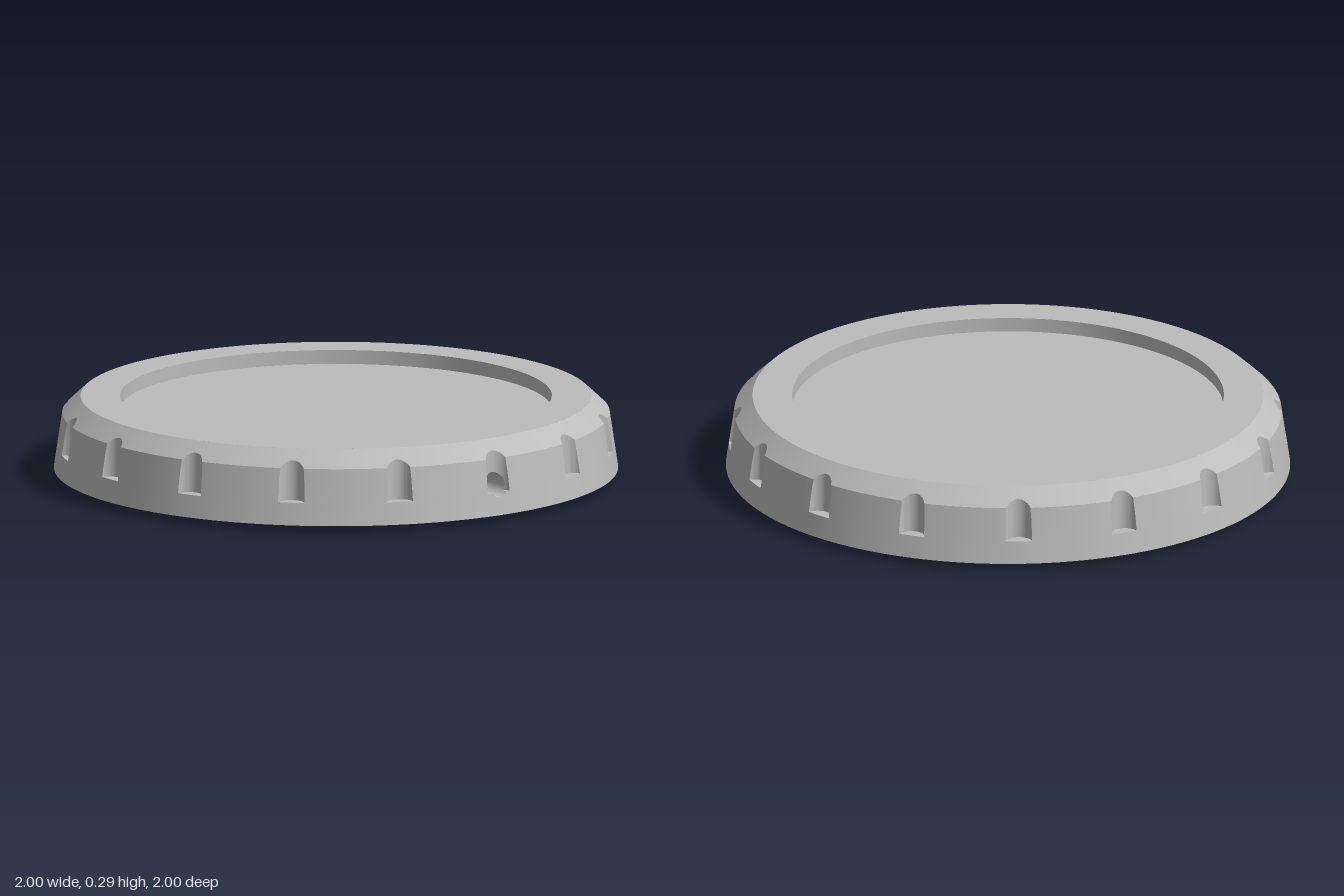
import * as THREE from 'three';
import { toCreasedNormals } from 'three/addons/utils/BufferGeometryUtils.js';

const BASE = 0.03, BREAK = 0.23, TOP = 0.29;       // heights of the outer wall
const R_BASE = 1, R_BREAK = 0.97, R_TOP = 0.905;   // matching radii
const FLOOR = 0.11, NOTCH_C = 0.992, NOTCH_R = 0.048, NOTCHES = 16;
const HOLE_Y = 0.135, HOLE_R = 0.041;              // set screw hole on +x
const POCKET = { x0: 0.182, x1: 0.232, w: 0.12, top: 0.19 };

// radius of the tapered and chamfered wall at a height
function wall(y) {
  return y < BREAK
    ? THREE.MathUtils.mapLinear(y, BASE, BREAK, R_BASE, R_BREAK)
    : THREE.MathUtils.mapLinear(y, BREAK, TOP, R_BREAK, R_TOP);
}

// height at which the wall reaches a radius
function wallHeight(r) {
  return r > R_BREAK
    ? THREE.MathUtils.mapLinear(r, R_BASE, R_BREAK, BASE, BREAK)
    : THREE.MathUtils.mapLinear(r, R_BREAK, R_TOP, BREAK, TOP);
}

// one vertical strip of points; local is the angle from the notch centre
function column(angle, local, hasHole) {
  const s = NOTCH_C * Math.sin(local);
  const d = NOTCH_R * NOTCH_R - s * s;
  let r = d > 0 ? NOTCH_C * Math.cos(local) - Math.sqrt(d) : 2;
  r = Math.min(r, wall(FLOOR));
  const yRim = Math.max(FLOOR, wallHeight(r));
  let low = Math.min(HOLE_Y, yRim), high = low;
  const z = r * Math.sin(local);
  if (hasHole && Math.abs(z) < HOLE_R) {
    const h = Math.sqrt(HOLE_R * HOLE_R - z * z);
    low = HOLE_Y - h;
    high = HOLE_Y + h;
  }
  const yStep = Math.min(low, FLOOR);
  const inner = low < FLOOR ? wall(low) : r;
  const yBreak = Math.max(yRim, BREAK);
  const rows = [
    [R_BASE, BASE], [wall(yStep), yStep], [inner, yStep], [inner, low],
    [r, high], [r, yRim], [wall(yBreak), yBreak], [R_TOP, TOP],
  ];
  return rows.map(([q, y]) => new THREE.Vector3(q * Math.cos(angle), y, -q * Math.sin(angle)));
}

// outer wall with scalloped notches and the screw opening
function gripGeometry() {
  const step = (Math.PI * 2) / NOTCHES;
  const edge = Math.asin(NOTCH_R / NOTCH_C);
  const locals = [];
  for (let i = 0; i <= 20; i++) locals.push(edge * Math.sin((i / 20 - 0.5) * Math.PI));
  for (let i = 1; i < 8; i++) locals.push(edge + (step - 2 * edge) * i / 8);
  const columns = [];
  for (let n = 0; n < NOTCHES; n++) {
    for (const a of locals) columns.push(column(n * step + a, a, n === 0));
  }
  const pos = [];
  const tri = (a, b, c) => {
    const area = b.clone().sub(a).cross(c.clone().sub(a)).length();
    if (area > 1e-9) for (const p of [a, b, c]) pos.push(p.x, p.y, p.z);
  };
  columns.forEach((a, i) => {
    const b = columns[(i + 1) % columns.length];
    for (let k = 0; k < a.length - 1; k++) {
      if (k === 3) continue; // the screw opening
      tri(a[k], b[k], b[k + 1]);
      tri(a[k], b[k + 1], a[k + 1]);
    }
  });
  const g = new THREE.BufferGeometry();
  g.setAttribute('position', new THREE.Float32BufferAttribute(pos, 3));
  return toCreasedNormals(g, 0.45);
}

function lathe(points) {
  const g = new THREE.LatheGeometry(points.map(([x, y]) => new THREE.Vector2(x, y)), 128);
  return toCreasedNormals(g, 0.5);
}

// underside disc, open for the hub and the nut pocket
function undersideGeometry() {
  const shape = new THREE.Shape().absarc(0, 0, R_BASE, 0, Math.PI * 2);
  shape.holes.push(new THREE.Path().absarc(0, 0, 0.178, 0, Math.PI * 2, true));
  const { x0, x1, w } = POCKET;
  shape.holes.push(new THREE.Path([
    new THREE.Vector2(x0, -w / 2), new THREE.Vector2(x0, w / 2),
    new THREE.Vector2(x1, w / 2), new THREE.Vector2(x1, -w / 2),
  ]));
  return new THREE.ShapeGeometry(shape, 64).rotateX(Math.PI / 2).translate(0, BASE, 0);
}

// box without its bottom face
function pocketGeometry() {
  const { x0, x1, w, top } = POCKET;
  const g = new THREE.BoxGeometry(x1 - x0, top - BASE, w);
  const index = Array.from(g.index.array);
  index.splice(18, 6);
  g.setIndex(index);
  g.clearGroups();
  return g.translate((x0 + x1) / 2, (top + BASE) / 2, 0);
}

// screw tunnel whose outer end follows the notch surface
function tunnelGeometry() {
  const g = new THREE.CylinderGeometry(HOLE_R, HOLE_R, 1, 48, 1, true).rotateZ(-Math.PI / 2);
  const p = g.attributes.position;
  for (let i = 0; i < p.count; i++) {
    const y = p.getY(i) + HOLE_Y, z = p.getZ(i);
    let x = POCKET.x1;
    if (p.getX(i) > 0) {
      x = y < FLOOR
        ? Math.sqrt(wall(y) ** 2 - z * z)
        : NOTCH_C - Math.sqrt(NOTCH_R ** 2 - z * z);
    }
    p.setXYZ(i, x, y, z);
  }
  return g;
}

export function createModel() {
  const group = new THREE.Group();
  group.name = 'knob';
  const grey = new THREE.MeshStandardMaterial({ color: 0xbcbcbc, side: THREE.DoubleSide });
  grey.name = 'grey';
  const add = (name, geometry) => {
    const mesh = new THREE.Mesh(geometry, grey);
    mesh.name = name;
    group.add(mesh);
  };
  add('gripWall', gripGeometry());
  add('recessedTop', lathe([[R_TOP, TOP], [0.765, TOP], [0.765, 0.24], [0, 0.24]]));
  add('underside', undersideGeometry());
  add('hub', lathe([[0, 0.2], [0.08, 0.2], [0.08, 0.105], [0.15, 0.105], [0.15, 0], [0.178, 0], [0.178, BASE]]));
  add('nutPocket', pocketGeometry());
  add('screwTunnel', tunnelGeometry());
  return group;
}
